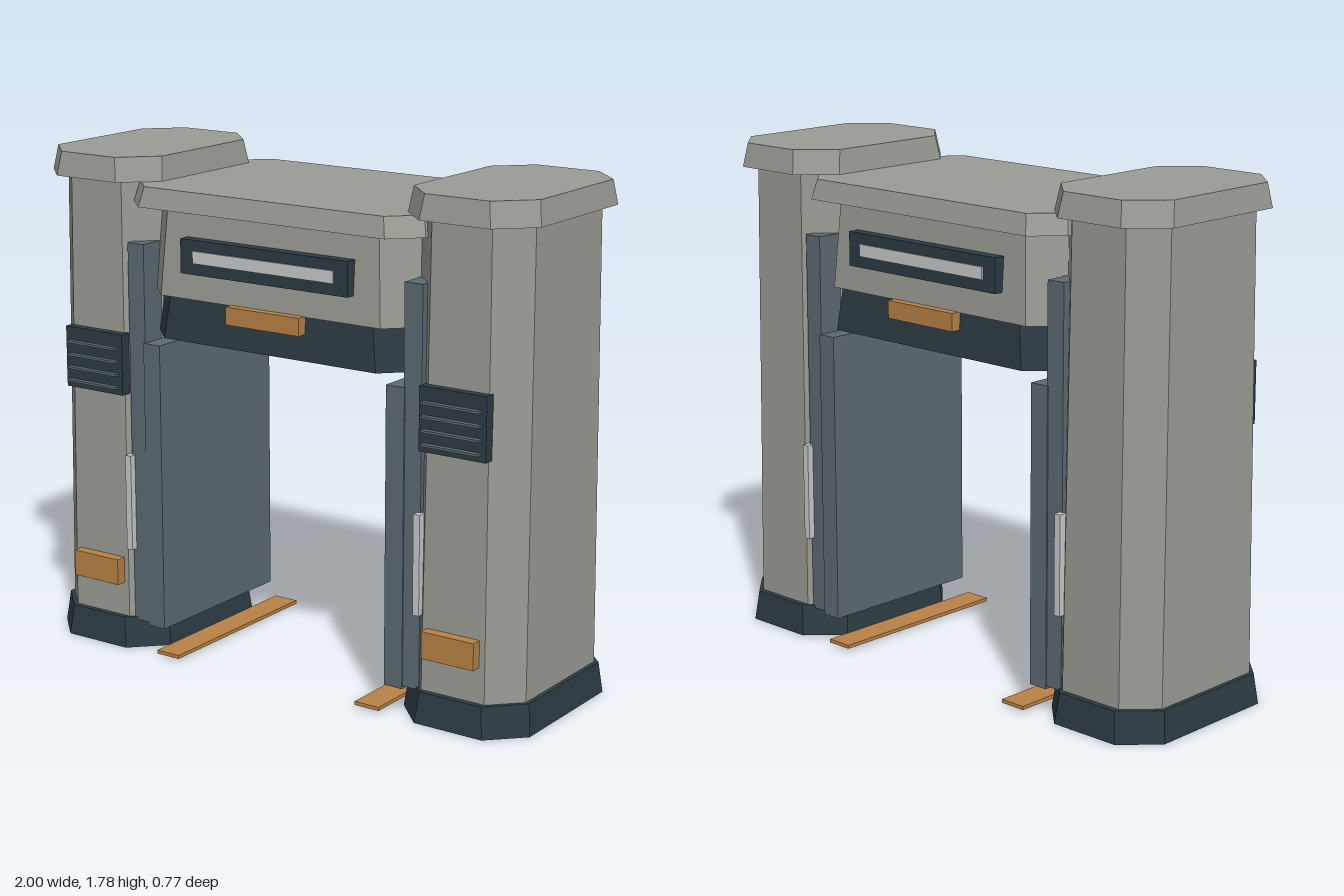
import * as THREE from 'three';

const mat = (name, color) => {
  const m = new THREE.MeshStandardMaterial({ color });
  m.name = name;
  return m;
};

// Upright block with chamfered corners, tapering from (hx, hz) at y0 to (tx, tz) at y1
function chamferBlock(hx, hz, tx, tz, c, y0, y1) {
  const s = new THREE.Shape([
    [hx, -hz + c], [hx, hz - c], [hx - c, hz], [-hx + c, hz],
    [-hx, hz - c], [-hx, -hz + c], [-hx + c, -hz], [hx - c, -hz],
  ].map(([x, y]) => new THREE.Vector2(x, y)));
  const g = new THREE.ExtrudeGeometry(s, { depth: y1 - y0, bevelEnabled: false });
  g.rotateX(-Math.PI / 2);
  const p = g.attributes.position;
  for (let i = 0; i < p.count; i++) {
    if (p.getY(i) > (y1 - y0) / 2) {
      // Inset the top so that every chamfer keeps its width
      p.setX(i, p.getX(i) - Math.sign(p.getX(i)) * (hx - tx));
      p.setZ(i, p.getZ(i) - Math.sign(p.getZ(i)) * (hz - tz));
    }
  }
  g.translate(0, y0, 0);
  g.computeVertexNormals();
  return g;
}

export function createModel() {
  const grey = mat('panelGrey', 0x9c9c95);
  const dark = mat('darkTrim', 0x2c3b43);
  const steel = mat('steelBlue', 0x5d6a72);
  const amber = mat('amber', 0xb88246);
  const white = mat('paleLight', 0xc9cacb);

  const root = new THREE.Group();
  root.name = 'gate';
  const add = (parent, name, geo, material, x = 0) => {
    const m = new THREE.Mesh(geo, material);
    m.name = name;
    m.position.x = x;
    parent.add(m);
    return m;
  };
  // Box given by its limits on each axis
  const box = (parent, name, material, x0, x1, y0, y1, z0, z1) => {
    const m = add(parent, name, new THREE.BoxGeometry(x1 - x0, y1 - y0, z1 - z0), material);
    m.position.set((x0 + x1) / 2, (y0 + y1) / 2, (z0 + z1) / 2);
  };
  // Box spanning outwards from the inner to the outer limit on one side of x
  const sideBox = (parent, name, material, s, a, b, ...rest) =>
    box(parent, name, material, Math.min(s * a, s * b), Math.max(s * a, s * b), ...rest);

  // Pillars
  for (const s of [1, -1]) {
    const pillar = new THREE.Group();
    pillar.name = s > 0 ? 'leftPillar' : 'rightPillar';
    root.add(pillar);
    add(pillar, 'base', chamferBlock(0.247, 0.363, 0.235, 0.35, 0.115, 0, 0.11), dark, s * 0.753);
    add(pillar, 'column', chamferBlock(0.223, 0.33, 0.212, 0.313, 0.1, 0.11, 1.7), grey, s * 0.75);
    add(pillar, 'cap', chamferBlock(0.247, 0.365, 0.235, 0.35, 0.115, 1.7, 1.785), grey, s * 0.753);

    // Inner lining of the passage
    sideBox(pillar, 'jamb', steel, s, 0.54, 0.61, 0.1, 1.485, -0.318, 0.318);
    sideBox(pillar, 'innerPanel', steel, s, 0.473, 0.545, 0.09, 1.135, -0.322, 0.322);
    sideBox(pillar, 'floorStrip', amber, s, 0.38, 0.477, 0.008, 0.021, -0.36, 0.36);
    for (const f of [1, -1]) {
      sideBox(pillar, 'lightBar', white, s, 0.597, 0.622, 0.37, 0.72,
        f > 0 ? 0.31 : -0.342, f > 0 ? 0.342 : -0.31);
    }

    // Front vent and pad
    sideBox(pillar, 'vent', dark, s, 0.62, 0.875, 0.94, 1.16, 0.31, 0.35);
    for (let i = 0; i < 4; i++) {
      const y = 0.967 + i * 0.047;
      sideBox(pillar, 'ventSlat', steel, s, 0.637, 0.858, y - 0.004, y + 0.004, 0.345, 0.37);
    }
    sideBox(pillar, 'frontPad', amber, s, 0.648, 0.85, 0.235, 0.33, 0.32, 0.366);
  }

  // Overhead bridge
  const bridge = new THREE.Group();
  bridge.name = 'bridge';
  root.add(bridge);
  add(bridge, 'lowerBand', chamferBlock(0.54, 0.334, 0.52, 0.322, 0.1, 1.17, 1.32), dark);
  add(bridge, 'body', chamferBlock(0.56, 0.33, 0.54, 0.31, 0.105, 1.32, 1.63), grey);
  add(bridge, 'roof', chamferBlock(0.6, 0.385, 0.585, 0.368, 0.095, 1.63, 1.7), grey);

  // Signs and lamps on both faces
  for (const f of [1, -1]) {
    const face = new THREE.Group();
    face.name = f > 0 ? 'frontSign' : 'backSign';
    face.rotation.y = f > 0 ? 0 : Math.PI;
    bridge.add(face);
    box(face, 'signFrame', dark, -0.345, 0.345, 1.415, 1.535, 0.31, 0.358);
    box(face, 'signScreen', white, -0.29, 0.29, 1.455, 1.498, 0.357, 0.363);
    box(face, 'lamp', amber, -0.152, 0.152, 1.26, 1.322, 0.315, 0.362);
  }
  return root;
}
